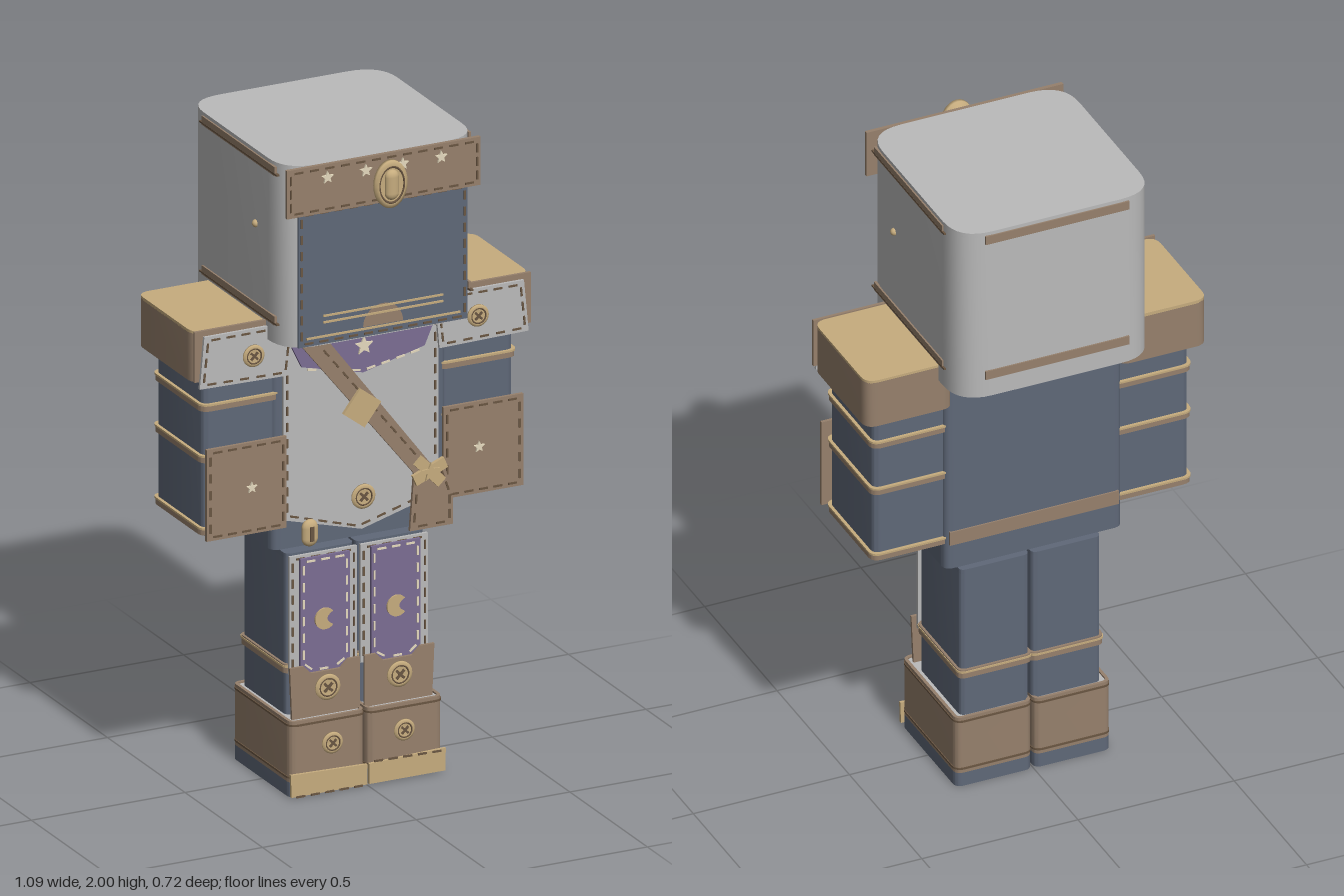
import * as THREE from 'three';
import { mergeGeometries, toCreasedNormals } from 'three/addons/utils/BufferGeometryUtils.js';

const mat = (name, color) => Object.assign(new THREE.MeshStandardMaterial({ color }), { name });

export function createModel() {
  const root = new THREE.Group();
  const grey = mat('light grey cloth', 0xbababa);
  const slate = mat('slate cloth', 0x5f6878);
  const brown = mat('brown leather', 0x96806c);
  const tan = mat('tan leather', 0xc6ac7e);
  const purple = mat('purple cloth', 0x7b6d93);
  const dark = mat('dark thread', 0x6a5642);
  const cream = mat('cream thread', 0xe4d9bd);

  const add = (name, geo, material, x = 0, y = 0, z = 0) => {
    const m = new THREE.Mesh(geo, material);
    m.name = name;
    m.position.set(x, y, z);
    root.add(m);
    return m;
  };

  // Rounded rectangle in plan; the shape's y is -z of the model
  function trace(p, x0, x1, z0, z1, r) {
    const a = -z1, b = -z0;
    p.moveTo(x0 + r, a).lineTo(x1 - r, a).quadraticCurveTo(x1, a, x1, a + r);
    p.lineTo(x1, b - r).quadraticCurveTo(x1, b, x1 - r, b);
    p.lineTo(x0 + r, b).quadraticCurveTo(x0, b, x0, b - r);
    p.lineTo(x0, a + r).quadraticCurveTo(x0, a, x0 + r, a);
    return p;
  }
  // Upright sleeve: hollow when wall > 0, a solid slab otherwise
  function sleeve(name, [x0, x1, z0, z1], y0, y1, r, material, wall = 0.01) {
    const s = trace(new THREE.Shape(), x0, x1, z0, z1, r);
    if (wall) s.holes.push(trace(new THREE.Path(), x0 + wall, x1 - wall, z0 + wall, z1 - wall, Math.max(r - wall, 0.004)));
    const g = new THREE.ExtrudeGeometry(s, { depth: y1 - y0, bevelEnabled: false, curveSegments: 8 });
    g.rotateX(-Math.PI / 2);
    return add(name, toCreasedNormals(g, 0.6), material, 0, y0, 0);
  }
  const grow = ([a, b, c, d], e) => [a - e, b + e, c - e, d + e];
  const band = (name, box, y, h, r, material) => sleeve(name, grow(box, 0.008), y - h / 2, y + h / 2, r + 0.006, material, 0.012);

  // Flat panel cut from an outline, facing +z
  const plate = (name, pts, z, material, depth = 0.009) =>
    add(name, new THREE.ExtrudeGeometry(new THREE.Shape(pts.map(p => new THREE.Vector2(...p))),
      { depth, bevelEnabled: false }), material, 0, 0, z);
  const rect = (x0, x1, y0, y1) => [[x0, y0], [x1, y0], [x1, y1], [x0, y1]];
  const flip = (pts, s) => (s > 0 ? pts : pts.map(([x, y]) => [-x, y]).reverse());

  // Dashed stitching along a closed or open outline, pulled in toward its centre
  function stitch(name, pts, z, material, inset = 0.012, closed = true) {
    const cx = pts.reduce((t, p) => t + p[0], 0) / pts.length;
    const cy = pts.reduce((t, p) => t + p[1], 0) / pts.length;
    const q = pts.map(([x, y]) => [x - Math.sign(x - cx) * inset, y - Math.sign(y - cy) * inset]);
    const parts = [];
    for (let i = 0; i < q.length - (closed ? 0 : 1); i++) {
      const [ax, ay] = q[i], [bx, by] = q[(i + 1) % q.length];
      const n = Math.max(1, Math.round(Math.hypot(bx - ax, by - ay) / 0.05));
      for (let k = 0; k < n; k++) {
        const t = (k + 0.5) / n;
        parts.push(new THREE.BoxGeometry(0.028, 0.006, 0.004)
          .rotateZ(Math.atan2(by - ay, bx - ax)).translate(ax + (bx - ax) * t, ay + (by - ay) * t, z));
      }
    }
    add(name, mergeGeometries(parts), material);
  }

  // Domed button with a dark cross
  function button(x, y, z, r) {
    const profile = [[0, 0], [r * 0.6, 0], [r, 0.007], [r, 0.012], [r * 0.75, 0.016], [r * 0.68, 0.012], [0, 0.013]];
    add('button', new THREE.LatheGeometry(profile.map(p => new THREE.Vector2(...p)), 24).rotateX(Math.PI / 2), tan, x, y, z);
    add('buttonRing', new THREE.TorusGeometry(r * 0.68, 0.0025, 6, 24), dark, x, y, z + 0.014);
    for (const a of [1, -1])
      add('buttonThread', new THREE.BoxGeometry(r * 0.9, r * 0.2, 0.005), dark, x, y, z + 0.014).rotation.z = a * Math.PI / 4;
  }
  function star(x, y, z, r, material = cream) {
    const pts = Array.from({ length: 10 }, (_, i) => {
      const a = Math.PI / 2 + i * Math.PI / 5, q = i % 2 ? r * 0.45 : r;
      return [x + q * Math.cos(a), y + q * Math.sin(a)];
    });
    plate('star', pts, z, material, 0.006);
  }

  // Head: open below, flat on top
  const head = [-0.315, 0.315, -0.355, 0.28];
  sleeve('head', head, 1.435, 1.995, 0.11, grey, 0.012);
  sleeve('headTop', head, 1.985, 2, 0.11, grey, 0);
  for (const y of [1.975, 1.51]) {
    for (const s of [-1, 1]) {
      add('headSideTrim', new THREE.BoxGeometry(0.008, 0.028, 0.47), brown, s * 0.316, y, -0.015);
      add('headSideStitch', new THREE.BoxGeometry(0.01, 0.005, 0.5), dark, s * 0.3155, y - 0.008, -0.015);
    }
    add('headBackTrim', new THREE.BoxGeometry(0.46, 0.028, 0.008), brown, 0, y, -0.356);
  }
  for (const s of [-1, 1]) add('earStud', new THREE.SphereGeometry(0.012, 12, 8), tan, s * 0.315, 1.77, 0.09);

  // Face panel with mouth lines
  const visor = rect(-0.275, 0.275, 1.44, 1.86);
  plate('facePanel', visor, 0.279, slate, 0.007);
  stitch('faceStitch', visor, 0.287, dark, 0.01);
  for (const [w, y] of [[0.39, 1.528], [0.39, 1.508], [0.5, 1.465]])
    add('mouthLine', new THREE.BoxGeometry(w, 0.006, 0.004), tan, 0, y, 0.288);
  add('mouthPatch', new THREE.CircleGeometry(0.065, 20, 0, Math.PI), brown, 0, 1.47, 0.2865);

  // Headband with stars and oval brooch
  const brow = rect(-0.315, 0.315, 1.85, 2);
  plate('headband', brow, 0.28, brown, 0.012);
  stitch('headbandStitch', brow, 0.293, dark);
  for (const x of [-0.185, -0.06, 0.06, 0.185]) star(x, 1.96, 0.292, 0.02);
  const oval = [[0, 0], [0.03, 0], [0.034, 0.012], [0.053, 0.018], [0.053, 0.03], [0.042, 0.036], [0.04, 0.03], [0, 0.032]];
  add('brooch', new THREE.LatheGeometry(oval.map(p => new THREE.Vector2(...p)), 28).rotateX(Math.PI / 2).scale(1, 1.4, 1), tan, 0, 1.922, 0.31);
  add('broochStem', new THREE.CylinderGeometry(0.015, 0.015, 0.03, 12).rotateX(Math.PI / 2), dark, 0, 1.922, 0.3);
  add('broochRing', new THREE.TorusGeometry(0.04, 0.003, 6, 28).scale(1, 1.4, 1), dark, 0, 1.922, 0.344);
  add('broochStone', new THREE.CapsuleGeometry(0.022, 0.05, 6, 14).scale(1, 1, 0.7), tan, 0, 1.922, 0.342);

  // Torso
  const torso = [-0.285, 0.285, -0.195, 0.135];
  sleeve('torso', torso, 0.76, 1.44, 0.03, slate, 0.012);
  sleeve('torsoBase', grow(torso, -0.012), 0.785, 0.795, 0.02, slate, 0);
  add('belt', new THREE.BoxGeometry(0.54, 0.045, 0.008), brown, 0, 0.865, -0.196);

  // Tabard, collar and cross strap
  const tabard = [[-0.255, 1.43], [-0.255, 0.855], [0, 0.785], [0.25, 0.855], [0.25, 1.43]];
  plate('tabard', tabard, 0.14, grey);
  stitch('tabardStitch', tabard, 0.15, dark);
  const collar = [[-0.255, 1.44], [-0.2, 1.325], [0, 1.275], [0.2, 1.325], [0.25, 1.44]];
  plate('collar', collar, 0.15, purple);
  stitch('collarStitch', collar.slice(1, 4), 0.16, cream, 0.008, false);
  star(0, 1.36, 0.16, 0.03);
  plate('strap', [[-0.235, 1.43], [0.165, 0.93], [0.235, 0.93], [-0.145, 1.43]], 0.163, brown, 0.01);
  stitch('strapStitch', [[-0.175, 1.42], [0.2, 0.95]], 0.174, dark, 0, false);
  const tail = [[0.145, 0.76], [0.285, 0.76], [0.285, 0.85], [0.255, 0.955], [0.16, 0.955]];
  plate('strapTail', tail, 0.163, brown, 0.01);
  stitch('strapTailStitch', tail, 0.174, dark);
  add('strapBuckle', new THREE.BoxGeometry(0.085, 0.09, 0.012), tan, -0.015, 1.175, 0.178).rotation.z = -0.65;
  for (const a of [0.4, -0.8]) add('strapClasp', new THREE.BoxGeometry(0.11, 0.035, 0.012), tan, 0.205, 0.94, 0.18).rotation.z = a;
  star(0.205, 0.94, 0.186, 0.03, tan);
  button(0, 0.89, 0.15, 0.038);
  add('pouchCharm', new THREE.CapsuleGeometry(0.026, 0.032, 6, 14).scale(1, 1, 0.6), tan, -0.19, 0.82, 0.19);
  add('charmSlot', new THREE.BoxGeometry(0.014, 0.045, 0.006), dark, -0.19, 0.82, 0.205);

  // Arms and legs, mirrored
  for (const s of [1, -1]) {
    const side = (a, b, z0, z1) => (s > 0 ? [a, b, z0, z1] : [-b, -a, z0, z1]);

    const arm = side(0.265, 0.505, -0.178, 0.128);
    sleeve('arm', arm, 0.84, 1.36, 0.025, slate);
    for (const y of [1.24, 1.08, 0.855]) {
      band('armBand', arm, y, 0.022, 0.025, brown);
      band('armBandEdge', grow(arm, 0.002), y + 0.009, 0.006, 0.025, tan);
    }
    const cuff = flip(rect(0.255, 0.515, 0.84, 1.125), s);
    plate('cuff', cuff, 0.16, brown, 0.01);
    stitch('cuffStitch', cuff, 0.171, dark);
    star(s * 0.37, 0.985, 0.17, 0.018);

    const shoulder = side(0.265, 0.547, -0.217, 0.147);
    sleeve('shoulder', shoulder, 1.33, 1.48, 0.04, brown);
    sleeve('shoulderTop', shoulder, 1.478, 1.488, 0.04, tan, 0);
    plate('shoulderFlap', flip(rect(0.255, 0.547, 1.335, 1.492), s), 0.147, brown);
    const pad = flip([[0.245, 1.31], [0.535, 1.315], [0.52, 1.475], [0.3, 1.475], [0.235, 1.42]], s);
    plate('shoulderPad', pad, 0.156, grey);
    stitch('shoulderPadStitch', pad, 0.166, dark);
    button(s * 0.365, 1.395, 0.166, 0.034);

    const leg = side(0.004, 0.225, -0.175, 0.108);
    sleeve('leg', leg, 0.06, 0.72, 0.02, slate);
    sleeve('legTop', leg, 0.715, 0.73, 0.02, slate, 0);
    band('legBand', leg, 0.375, 0.028, 0.02, brown);
    band('legBandEdge', grow(leg, 0.002), 0.382, 0.006, 0.02, tan);
    const panel = flip(rect(0.006, 0.225, 0.36, 0.728), s);
    plate('legPanel', panel, 0.12, grey);
    stitch('legPanelStitch', panel, 0.13, dark, 0.01);
    const inlay = flip([[0.035, 0.72], [0.035, 0.385], [0.075, 0.36], [0.165, 0.36], [0.195, 0.385], [0.195, 0.72]], s);
    plate('legInlay', inlay, 0.132, purple);
    stitch('legInlayStitch', inlay, 0.142, cream, 0.01);
    const moon = new THREE.Shape().absarc(0, 0, 0.033, 0.7, Math.PI * 2 - 0.7, false);
    moon.quadraticCurveTo(-0.012, 0, 0.025, 0.021);
    add('moon', new THREE.ExtrudeGeometry(moon, { depth: 0.006, bevelEnabled: false }), tan, s * 0.117, 0.525, 0.141);
    const knee = flip([[0.008, 0.23], [0.228, 0.23], [0.235, 0.39], [0.19, 0.39], [0.165, 0.365], [0.07, 0.365], [0.045, 0.39], [0.008, 0.39]], s);
    plate('kneeGuard', knee, 0.143, brown);
    button(s * 0.117, 0.318, 0.152, 0.04);

    const boot = side(0.004, 0.248, -0.193, 0.18);
    sleeve('boot', boot, 0.045, 0.235, 0.025, brown);
    sleeve('bootSole', boot, 0, 0.045, 0.025, slate);
    sleeve('bootLining', grow(boot, -0.012), 0.003, 0.22, 0.015, grey, 0.008);
    sleeve('bootTop', grow(boot, -0.01), 0.22, 0.23, 0.015, grey, 0);
    for (const y of [0.222, 0.06]) band('bootSeam', grow(boot, -0.005), y, 0.006, 0.025, dark);
    const toe = flip([[0.003, 0.005], [0.25, 0.005], [0.252, 0.075], [0.003, 0.068]], s);
    plate('toeCap', toe, 0.183, tan);
    stitch('toeStitch', [toe[2], toe[3]], 0.193, dark, 0.006, false);
    button(s * 0.117, 0.155, 0.182, 0.033);
  }
  return root;
}
